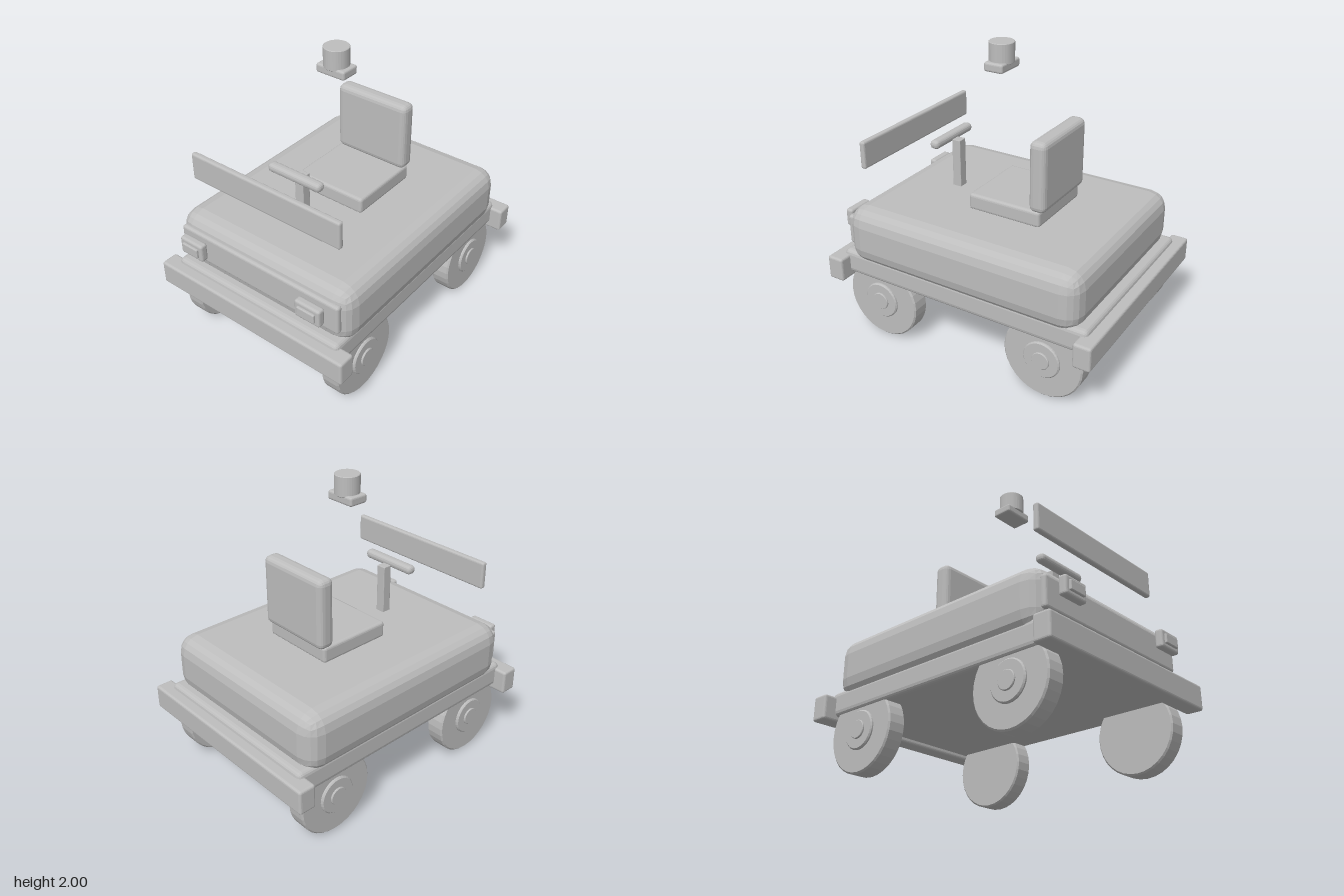
import * as THREE from 'three';
import { RoundedBoxGeometry } from 'three/addons/geometries/RoundedBoxGeometry.js';

export function createModel() {
  const model = new THREE.Group();
  model.name = 'utilityCart';
  const grey = new THREE.MeshStandardMaterial({ color: 0xbdbdbd, flatShading: true });
  grey.name = 'plain grey';

  // Bevelled block given by its [min, max] extent on each axis
  function block(name, [x0, x1], [y0, y1], [z0, z1], radius, segments = 2) {
    const geometry = new RoundedBoxGeometry(x1 - x0, y1 - y0, z1 - z0, segments, radius);
    const mesh = new THREE.Mesh(geometry, grey);
    mesh.name = name;
    mesh.position.set((x0 + x1) / 2, (y0 + y1) / 2, (z0 + z1) / 2);
    model.add(mesh);
    return mesh;
  }

  // Closed disc along +y with a small bevel on both rims
  function disc(name, radius, y0, y1, bevel, sides = 32) {
    const profile = [
      [0, y0], [radius - bevel, y0], [radius, y0 + bevel],
      [radius, y1 - bevel], [radius - bevel, y1], [0, y1],
    ].map(([r, y]) => new THREE.Vector2(r, y));
    const mesh = new THREE.Mesh(new THREE.LatheGeometry(profile, sides), grey);
    mesh.name = name;
    return mesh;
  }

  // Chassis and body
  block('chassis', [-0.665, 0.665], [0.42, 0.59], [-0.92, 0.92], 0.035);
  block('body', [-0.695, 0.695], [0.525, 0.932], [-0.86, 0.86], 0.12);
  block('frontPanel', [-0.64, 0.64], [0.64, 0.848], [0.83, 0.875], 0.018);

  // Bumpers
  block('frontBumper', [-0.752, 0.752], [0.388, 0.556], [0.87, 0.99], 0.016);
  block('rearBumper', [-0.752, 0.752], [0.388, 0.556], [-0.99, -0.87], 0.016);

  // Headlights
  for (const side of [-1, 1]) {
    const x = side * 0.475;
    block('headlight', [x - 0.095, x + 0.095], [0.718, 0.842], [0.905, 0.96], 0.016);
    block('headlightLens', [x - 0.066, x + 0.066], [0.747, 0.812], [0.945, 0.975], 0.006, 1);
  }

  // Wheels, with hub and cap on the outer side
  for (const side of [-1, 1]) {
    for (const z of [-0.62, 0.62]) {
      const wheel = new THREE.Group();
      wheel.name = 'wheel';
      wheel.add(
        disc('tyre', 0.275, -0.065, 0.062, 0.01),
        disc('hub', 0.127, 0.03, 0.079, 0.008),
        disc('hubCap', 0.06, 0.05, 0.09, 0.004),
      );
      wheel.rotation.z = -side * Math.PI / 2;
      wheel.position.set(side * 0.588, 0.278, z);
      model.add(wheel);
    }
  }

  // Seat
  block('seatCushion', [-0.265, 0.265], [0.925, 1.037], [-0.365, 0.16], 0.02);
  block('seatBack', [-0.273, 0.273], [1.027, 1.503], [-0.402, -0.285], 0.04);

  // Steering column, handlebar and windscreen
  block('steeringColumn', [-0.033, 0.033], [0.9, 1.27], [0.383, 0.447], 0.004, 1);
  block('handlebar', [-0.207, 0.207], [1.25, 1.31], [0.44, 0.508], 0.026);
  block('windscreen', [-0.58, 0.58], [1.187, 1.375], [0.742, 0.782], 0.014);

  // Floating beacon above the seat
  block('beaconBase', [-0.107, 0.107], [1.82, 1.88], [0, 0.137], 0.014);
  const beacon = disc('beaconLamp', 0.083, 1.866, 2, 0.004);
  beacon.position.z = 0.068;
  model.add(beacon);

  return model;
}
